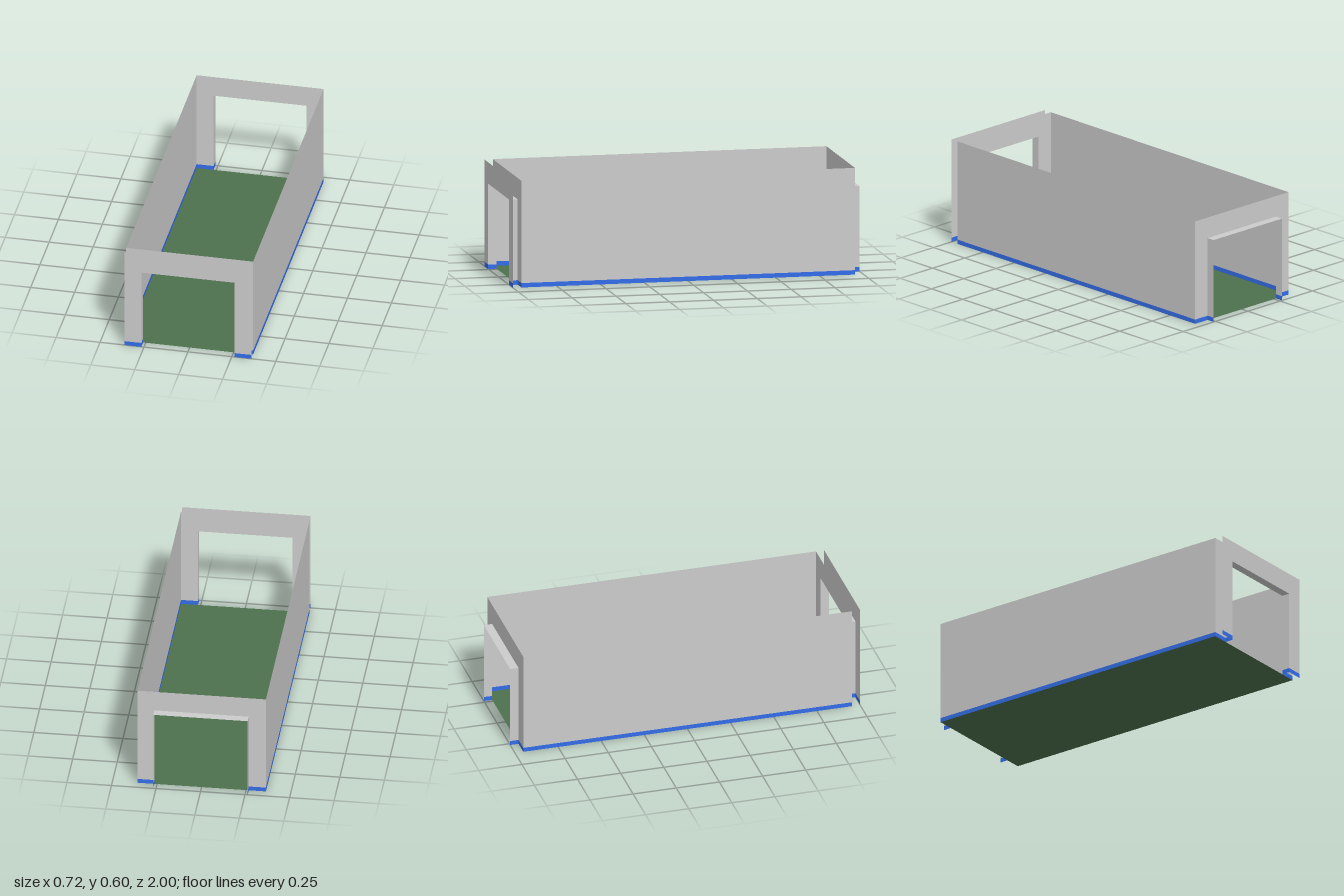
import * as THREE from 'three';

const W = 0.361, H = 0.603, Z = 0.952, END = 1; // half width, wall height, half length, outer end
const DW = 0.265, DH = 0.482, BASE = 0.025;     // door half width, door height, skirting height

const material = (color) => new THREE.MeshStandardMaterial({ color, side: THREE.DoubleSide });

export function createModel() {
  const group = new THREE.Group();
  const grey = material(0xcccccc), blue = material(0x346de9), green = material(0x4c714c);

  const add = (name, geometry, mat) => {
    const mesh = new THREE.Mesh(geometry, mat);
    mesh.name = name;
    group.add(mesh);
    return mesh;
  };

  // Upright sheet running along z, facing +x or -x
  const sideSheet = (name, x, z0, z1, y0, y1, facing, mat) => {
    const mesh = add(name, new THREE.PlaneGeometry(z1 - z0, y1 - y0), mat);
    mesh.rotation.y = facing * Math.PI / 2;
    mesh.position.set(x, (y0 + y1) / 2, (z0 + z1) / 2);
  };

  // Side sheet with a skirting strip at its foot
  const skirtedSide = (name, x, z0, z1, top, facing) => {
    sideSheet(name, x, z0, z1, BASE, top, facing, grey);
    sideSheet(name + 'Skirting', x, z0, z1, 0, BASE, facing, blue);
  };

  // End wall with a doorway, and a skirting strip on each side of it
  const doorShape = new THREE.Shape([
    [-W, BASE], [-DW, BASE], [-DW, DH], [DW, DH], [DW, BASE], [W, BASE], [W, H], [-W, H],
  ].map(([x, y]) => new THREE.Vector2(x, y)));
  const endWall = (name, z) => {
    const turn = z < 0 ? Math.PI : 0;
    const wall = add(name, new THREE.ShapeGeometry(doorShape), grey);
    wall.rotation.y = turn;
    wall.position.z = z;
    for (const s of [-1, 1]) {
      const strip = add(name + 'Skirting', new THREE.PlaneGeometry(W - DW, BASE), blue);
      strip.rotation.y = turn;
      strip.position.set(s * (W + DW) / 2, BASE / 2, z);
    }
  };

  // Floor
  add('floor', new THREE.PlaneGeometry(2 * W, 2 * Z).rotateX(-Math.PI / 2), green);

  // Long walls
  for (const s of [-1, 1]) skirtedSide(s > 0 ? 'leftWall' : 'rightWall', s * W, -Z, Z, H, s);

  // End walls, plus the outer facing in front
  endWall('frontWall', Z);
  endWall('backWall', -Z);
  endWall('frontOuterWall', END);

  // Door linings: two jambs and a lintel at each end
  for (const e of [-1, 1]) {
    const z0 = e > 0 ? Z : -END, z1 = e > 0 ? END : -Z;
    const end = e > 0 ? 'front' : 'back';
    for (const s of [-1, 1]) skirtedSide(end + 'DoorJamb', s * DW, z0, z1, DH, -s);
    const lintel = add(end + 'DoorLintel', new THREE.PlaneGeometry(2 * DW, z1 - z0).rotateX(Math.PI / 2), grey);
    lintel.position.set(0, DH, (z0 + z1) / 2);
  }

  return group;
}
